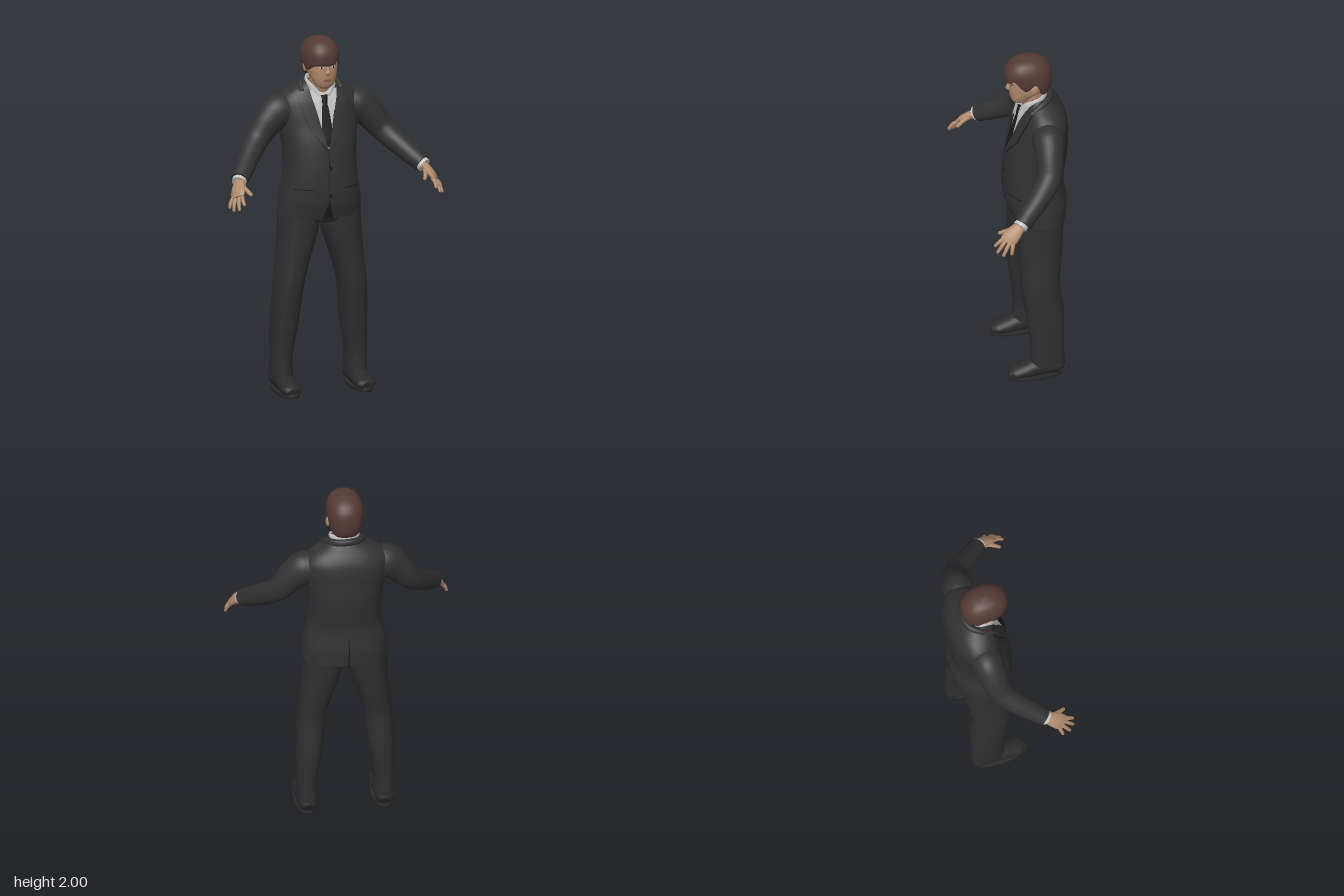
import * as THREE from 'three';

const mat = (name, color) => {
  const m = new THREE.MeshStandardMaterial({ color });
  m.name = name;
  return m;
};
const M = {
  suit: mat('suit charcoal', 0x323232),
  trousers: mat('trouser charcoal', 0x2f2f2f),
  shoe: mat('shoe black', 0x2a2a2a),
  dark: mat('tie and seam black', 0x1b1b1b),
  shirt: mat('shirt grey white', 0xc4c4c4),
  skin: mat('skin', 0xb18a6c),
  hair: mat('hair brown', 0x553a34),
  lip: mat('lip', 0x8c5f4e),
};
const E = 2.3; // squareness of the cross-sections

// Smooth interpolation of a table whose first column is the key
function sample(table, key) {
  let i = 0;
  while (i < table.length - 2 && key > table[i + 1][0]) i++;
  const a = table[i], b = table[i + 1], p = table[Math.max(0, i - 1)], q = table[Math.min(table.length - 1, i + 2)];
  const h = b[0] - a[0], t = THREE.MathUtils.clamp((key - a[0]) / h, 0, 1);
  return a.map((v, c) => {
    if (c === 0) return key;
    const m0 = (b[c] - p[c]) / (b[0] - p[0]) * h, m1 = (q[c] - v) / (q[0] - a[0]) * h;
    return (2 * t ** 3 - 3 * t * t + 1) * v + (t ** 3 - 2 * t * t + t) * m0
      + (3 * t * t - 2 * t ** 3) * b[c] + (t ** 3 - t * t) * m1;
  });
}

// Point on a horizontal section [y, cx, cz, rx, rz]; angle 0 is the front
function ringPoint([y, cx, cz, rx, rz], a, k = 1) {
  const pw = v => Math.sign(v) * Math.abs(v) ** (2 / E);
  return new THREE.Vector3(cx + Math.max(rx, 0.001) * k * pw(Math.sin(a)), y, cz + Math.max(rz, 0.001) * k * pw(Math.cos(a)));
}

// Closed skin over rings of points, with flat end caps
function skin(rings) {
  const n = rings[0].length, pos = [], idx = [];
  rings.forEach(r => r.forEach(p => pos.push(p.x, p.y, p.z)));
  for (let i = 0; i < rings.length - 1; i++) for (let j = 0; j < n; j++) {
    const k = (j + 1) % n, a = i * n + j, b = i * n + k;
    idx.push(a, b, b + n, a, b + n, a + n);
  }
  [rings[0], rings[rings.length - 1]].forEach((r, end) => {
    const base = pos.length / 3, c = new THREE.Vector3();
    r.forEach(p => { pos.push(p.x, p.y, p.z); c.addScaledVector(p, 1 / n); });
    pos.push(c.x, c.y, c.z);
    for (let j = 0; j < n; j++) {
      const k = (j + 1) % n;
      idx.push(base + n, base + (end ? j : k), base + (end ? k : j));
    }
  });
  return finish(pos, idx);
}
function finish(pos, idx) {
  const g = new THREE.BufferGeometry();
  g.setAttribute('position', new THREE.Float32BufferAttribute(pos, 3));
  g.setIndex(idx);
  g.computeVertexNormals();
  return g;
}

// Upright body through a table of sections
function loft(table, rows = 40, n = 40) {
  const y0 = table[0][0], y1 = table[table.length - 1][0];
  return skin(Array.from({ length: rows + 1 }, (_, i) => {
    const s = sample(table, y0 + (y1 - y0) * i / rows);
    return Array.from({ length: n }, (_, j) => ringPoint(s, j / n * Math.PI * 2));
  }));
}

// Limb along rows [x, y, z, halfWidth, halfDepth]; the width lies along side
function sweep(rows, side, segs = 20, n = 16) {
  const curve = new THREE.CatmullRomCurve3(rows.map(r => new THREE.Vector3(r[0], r[1], r[2])));
  const rings = [];
  for (let i = 0; i <= segs; i++) {
    const t = i / segs, f = t * (rows.length - 1), k = Math.min(Math.floor(f), rows.length - 2);
    const c = curve.getPoint(t), T = curve.getTangent(t);
    const N = side.clone().addScaledVector(T, -side.dot(T)).normalize(), B = T.clone().cross(N);
    const w = THREE.MathUtils.lerp(rows[k][3], rows[k + 1][3], f - k), d = THREE.MathUtils.lerp(rows[k][4], rows[k + 1][4], f - k);
    rings.push(Array.from({ length: n }, (_, j) => {
      const a = j / n * Math.PI * 2;
      return c.clone().addScaledVector(N, w * Math.cos(a)).addScaledVector(B, d * Math.sin(a));
    }));
  }
  return skin(rings);
}

// Thin piece lying on a lofted body; rows [y, x0, x1] run downward
function patch(table, rows, off, s = 1, dir = 1) {
  const pos = [], idx = [], NY = 24, NX = 8;
  for (let i = 0; i <= NY; i++) {
    const f = i / NY * (rows.length - 1), k = Math.min(Math.floor(f), rows.length - 2);
    const [y, u, v] = rows[k].map((q, c) => THREE.MathUtils.lerp(q, rows[k + 1][c], f - k));
    const [, cx, cz, rx, rz] = sample(table, y);
    const x0 = s > 0 ? u : -v, x1 = s > 0 ? v : -u;
    for (let j = 0; j <= NX; j++) {
      const x = x0 + (x1 - x0) * j / NX, d = Math.max(0, 1 - Math.abs((x - cx) / rx) ** E) ** (1 / E);
      pos.push(x, y, cz + dir * (rz * d + off));
      if (i < NY && j < NX) {
        const a = i * (NX + 1) + j, b = a + 1, c = a + NX + 1;
        if (dir > 0) idx.push(a, c, b, b, c, c + 1);
        else idx.push(a, b, c, b, c + 1, c);
      }
    }
  }
  return finish(pos, idx);
}

const JACKET = [[0.99, 0, -0.102, 0.235, 0.153], [1.08, 0, -0.093, 0.228, 0.168], [1.2, 0, -0.082, 0.208, 0.163],
  [1.3, 0, -0.09, 0.202, 0.165], [1.42, 0, -0.107, 0.21, 0.162], [1.5, 0, -0.12, 0.222, 0.15], [1.58, 0, -0.13, 0.235, 0.138],
  [1.64, 0, -0.133, 0.228, 0.122], [1.69, 0, -0.128, 0.18, 0.098], [1.72, 0, -0.117, 0.125, 0.08], [1.748, 0, -0.11, 0.085, 0.06]];
const LEG = [[0.08, 0.213, -0.115, 0.058, 0.095], [0.2, 0.214, -0.115, 0.058, 0.093], [0.4, 0.198, -0.105, 0.073, 0.105],
  [0.6, 0.182, -0.083, 0.079, 0.108], [0.75, 0.155, -0.09, 0.09, 0.117], [0.9, 0.126, -0.095, 0.108, 0.125], [1.04, 0.114, -0.1, 0.114, 0.13]];
const HEAD = [[1.717, 0, 0.0, 0.02, 0.02], [1.732, 0, -0.01, 0.046, 0.045], [1.765, 0, -0.025, 0.065, 0.07], [1.8, 0, -0.05, 0.077, 0.1],
  [1.85, 0, -0.058, 0.083, 0.108], [1.92, 0, -0.06, 0.082, 0.11], [1.95, 0, -0.06, 0.065, 0.085], [1.975, 0, -0.06, 0.03, 0.04]];
const HAIR = [[1.77, -0.007, -0.065, 0.08, 0.1], [1.82, -0.007, -0.066, 0.093, 0.122], [1.88, -0.008, -0.06, 0.1, 0.131],
  [1.93, -0.008, -0.058, 0.095, 0.124], [1.97, -0.008, -0.056, 0.073, 0.093], [1.99, -0.008, -0.055, 0.044, 0.056], [2, -0.008, -0.055, 0.002, 0.002]];
// Hairline height by angle around the head, in degrees
const HAIRLINE = [[-180, 1.775], [-120, 1.783], [-98, 1.86], [-72, 1.825], [-45, 1.852], [-15, 1.858], [10, 1.858],
  [30, 1.872], [50, 1.89], [75, 1.828], [97, 1.862], [118, 1.785], [180, 1.775]];

export function createModel() {
  const root = new THREE.Group();
  root.name = 'suitedMan';
  const add = (name, geo, material) => {
    const m = new THREE.Mesh(geo, material);
    m.name = name;
    root.add(m);
    return m;
  };
  const V = (x, y, z) => new THREE.Vector3(x, y, z);
  const X = V(1, 0, 0), Y = V(0, 1, 0), Z = V(0, 0, 1);
  const arch = half => [...half, ...half.slice(0, -1).reverse().map(([x, ...r]) => [-x, ...r])];

  // Jacket, hips and shirt front
  add('jacket', loft(JACKET, 60, 56), M.suit);
  add('trouserHips', loft([[0.96, 0, -0.1, 0.2, 0.115], [0.985, 0, -0.1, 0.224, 0.13], [1.06, 0, -0.1, 0.215, 0.13]], 8), M.trousers);
  add('shirtFront', patch(JACKET, [[1.715, -0.075, 0.075], [1.6, -0.055, 0.055], [1.5, -0.033, 0.033], [1.385, -0.002, 0.002]], 0.004), M.shirt);
  add('tie', patch(JACKET, [[1.67, -0.022, 0.022], [1.63, -0.014, 0.014], [1.6, -0.02, 0.02], [1.5, -0.03, 0.03], [1.4, -0.01, 0.01]], 0.009), M.dark);
  add('tieKnot', sweep([[0, 1.675, -0.012, 0.022, 0.012], [0, 1.632, 0.002, 0.013, 0.009]], X, 4), M.dark);
  add('jacketCollar', sweep(arch([[0.115, 1.69, -0.05, 0.015, 0.015], [0.1, 1.728, -0.11, 0.02, 0.018],
    [0.06, 1.746, -0.162, 0.02, 0.018], [0, 1.75, -0.177, 0.02, 0.018]]), Y, 36), M.suit);
  add('shirtCollar', sweep(arch([[0.025, 1.668, -0.012, 0.015, 0.007], [0.066, 1.715, -0.04, 0.024, 0.008],
    [0.072, 1.745, -0.11, 0.024, 0.008], [0, 1.755, -0.156, 0.024, 0.008]]), Y, 36), M.shirt);
  add('frontSeam', patch(JACKET, [[1.385, -0.002, 0.002], [1.1, -0.002, 0.002]], 0.003), M.dark);
  add('frontOpening', patch(JACKET, [[1.1, -0.001, 0.001], [0.99, -0.03, 0.03]], 0.003), M.dark);
  add('backVent', patch(JACKET, [[1.17, -0.002, 0.002], [0.99, -0.005, 0.005]], 0.003, 1, -1), M.dark);
  for (const y of [1.28, 1.125]) {
    const s = sample(JACKET, y), b = add('button', new THREE.CylinderGeometry(0.009, 0.009, 0.006, 16), M.dark);
    b.rotation.x = Math.PI / 2;
    b.position.set(0.008, y, s[2] + s[4] + 0.004);
  }

  // Neck, head and face
  add('neck', sweep([[0, 1.64, -0.1, 0.062, 0.06], [0, 1.7, -0.085, 0.062, 0.062], [0, 1.8, -0.065, 0.064, 0.066]], X, 12, 28), M.skin);
  add('head', loft(HEAD, 48, 44), M.skin);
  add('nose', sweep([[0, 1.86, 0.044, 0.008, 0.008], [0, 1.83, 0.053, 0.01, 0.01], [0, 1.814, 0.056, 0.016, 0.012], [0, 1.803, 0.046, 0.01, 0.006]], X, 14), M.skin);
  add('mouth', patch(HEAD, [[1.778, -0.012, 0.012], [1.772, -0.026, 0.026], [1.764, -0.014, 0.014]], 0.003), M.lip);

  // Hair with a swept fringe
  const N = 72, rings = [];
  for (let i = -1; i <= 20; i++) rings.push(Array.from({ length: N }, (_, j) => {
    const a = (j / N * 2 - 1) * Math.PI, low = sample(HAIRLINE, a * 180 / Math.PI)[1];
    const y = low + (2 - low) * Math.sin(Math.max(i, 0) / 20 * Math.PI / 2);
    return ringPoint(sample(HAIR, y), a, i < 0 ? 0.86 : 1);
  }));
  add('hair', skin(rings), M.hair);

  // Paired parts; s = 1 is the model's left
  for (const s of [1, -1]) {
    const side = s > 0 ? 'left' : 'right';
    const flip = rows => rows.map(([x, ...r]) => [s * x, ...r]);
    const pair = (name, geo, material) => add(side + name, geo, material);

    // Face details
    pair('Eye', patch(HEAD, [[1.852, 0.026, 0.04], [1.847, 0.02, 0.047], [1.841, 0.026, 0.042]], 0.002, s), M.shirt);
    pair('Iris', patch(HEAD, [[1.852, 0.03, 0.038], [1.841, 0.03, 0.038]], 0.003, s), M.dark);
    pair('Brow', patch(HEAD, [[1.865, 0.02, 0.05], [1.857, 0.016, 0.052]], 0.004, s), M.hair);
    const ear = pair('Ear', new THREE.SphereGeometry(1, 16, 12), M.skin);
    ear.scale.set(0.012, 0.032, 0.02);
    ear.position.set(s * 0.088, 1.834, -0.075);
    ear.rotation.x = -0.15;

    // Lapel, collar wing and pocket
    pair('LapelEdge', patch(JACKET, [[1.7, 0.082, 0.13], [1.645, 0.066, 0.143], [1.62, 0.058, 0.134], [1.5, 0.031, 0.1], [1.38, 0, 0.014]], 0.006, s), M.dark);
    pair('Lapel', patch(JACKET, [[1.7, 0.08, 0.127], [1.648, 0.066, 0.139], [1.62, 0.058, 0.13], [1.5, 0.031, 0.096], [1.385, 0, 0.01]], 0.012, s), M.suit);
    pair('CollarWing', patch(JACKET, [[1.705, 0.045, 0.078], [1.66, 0.013, 0.07], [1.59, 0.042, 0.05]], 0.015, s), M.shirt);
    pair('PocketFlap', patch(JACKET, [[1.165, 0.085, 0.185], [1.125, 0.085, 0.188]], 0.006, s), M.suit);
    pair('PocketLine', patch(JACKET, [[1.168, 0.085, 0.185], [1.162, 0.085, 0.185]], 0.008, s), M.dark);

    // Sleeve and cuff
    pair('Sleeve', sweep(flip([[0.16, 1.58, -0.125, 0.085, 0.085], [0.225, 1.575, -0.12, 0.09, 0.1], [0.285, 1.53, -0.112, 0.08, 0.086],
      [0.36, 1.437, -0.093, 0.068, 0.068], [0.43, 1.365, -0.025, 0.062, 0.062], [0.485, 1.31, 0.045, 0.055, 0.055],
      [0.528, 1.27, 0.1, 0.049, 0.049]]), Z, 40, 28), M.suit);
    pair('ShirtCuff', sweep(flip([[0.52, 1.277, 0.09, 0.041, 0.041], [0.537, 1.26, 0.114, 0.04, 0.04]]), Z, 4, 24), M.shirt);

    // Hand
    const across = V(s * 0.53, -0.31, -0.79);
    pair('Palm', sweep(flip([[0.527, 1.27, 0.1, 0.03, 0.024], [0.55, 1.24, 0.145, 0.042, 0.023], [0.562, 1.218, 0.172, 0.047, 0.02],
      [0.571, 1.197, 0.195, 0.042, 0.013]]), across, 14, 20), M.skin);
    [[0.551, 1.208, 0.21, 0.554, 1.168, 0.258], [0.562, 1.204, 0.197, 0.581, 1.142, 0.25],
      [0.574, 1.197, 0.178, 0.604, 1.132, 0.222], [0.584, 1.192, 0.163, 0.613, 1.138, 0.178],
      [0.532, 1.25, 0.135, 0.502, 1.213, 0.222]].forEach(([a, b, c, d, e, f], i) => {
      const r = i === 4 ? 0.014 : 0.0115;
      pair(i === 4 ? 'Thumb' : 'Finger', sweep(flip([[a, b, c, r, r], [(a + d) / 2 + 0.004, (b + e) / 2 + 0.005, (c + f) / 2, r * 0.95, r * 0.9],
        [d, e, f, r * 0.75, r * 0.65], [d + (d - a) * 0.06, e + (e - b) * 0.06, f + (f - c) * 0.06, r * 0.3, r * 0.3]]), across, 12, 10), M.skin);
    });

    // Trouser leg and shoe
    pair('TrouserLeg', loft(LEG.map(([y, x, ...r]) => [y, s * x, ...r]), 48, 36), M.trousers);
    pair('Shoe', sweep(flip([[0.213, 0.045, -0.2, 0.03, 0.025], [0.213, 0.055, -0.18, 0.05, 0.05], [0.213, 0.058, -0.08, 0.052, 0.057],
      [0.213, 0.047, 0, 0.057, 0.045], [0.213, 0.038, 0.07, 0.056, 0.032], [0.213, 0.032, 0.1, 0.036, 0.02]]), X, 28, 28), M.shoe);
    pair('Sole', loft([[0, s * 0.213, -0.045, 0.06, 0.15], [0.012, s * 0.213, -0.045, 0.062, 0.154], [0.022, s * 0.213, -0.045, 0.06, 0.152]], 4), M.shoe);
  }
  return root;
}
